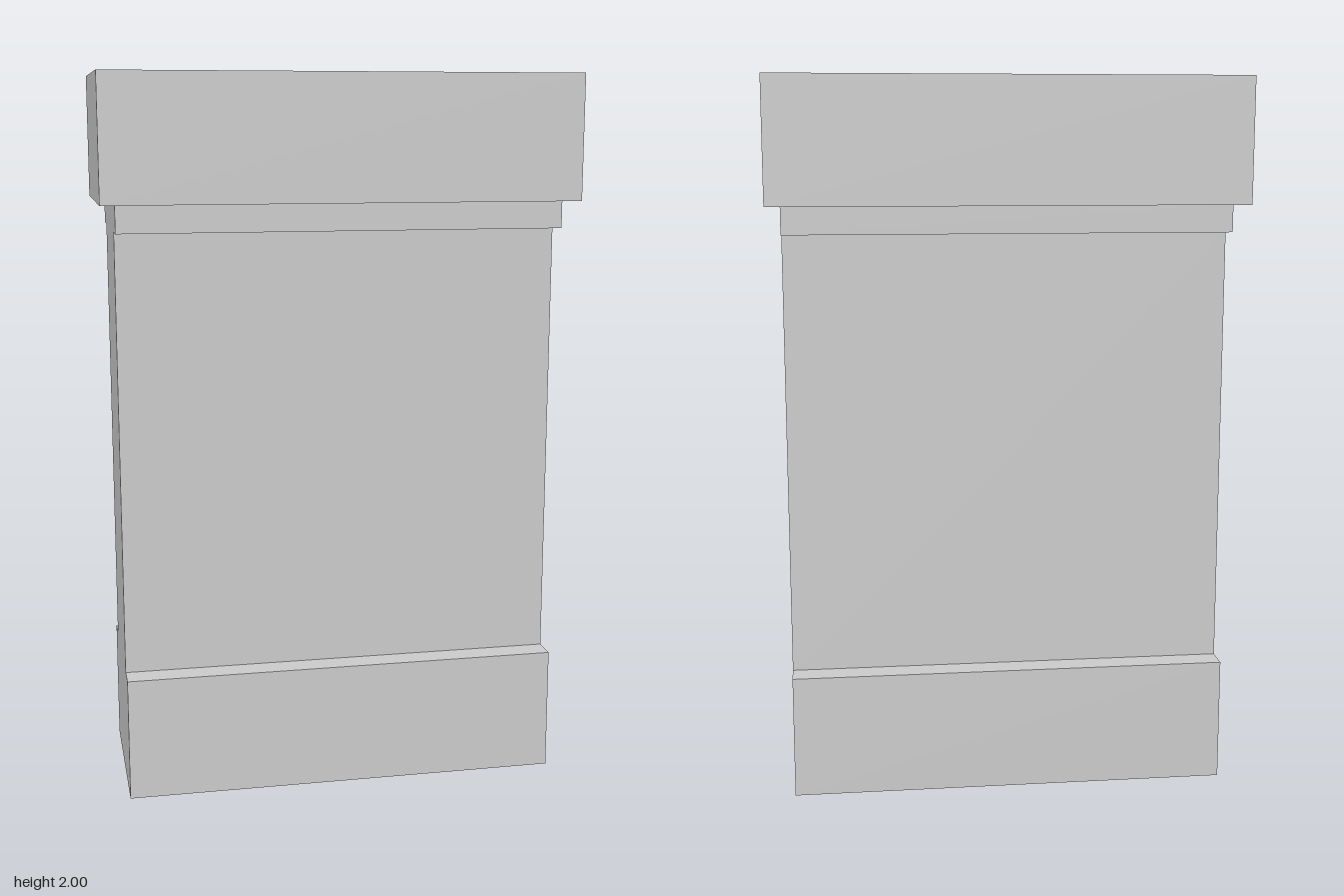
import * as THREE from 'three';

const material = new THREE.MeshStandardMaterial({
  color: 0xcccccc, flatShading: true, side: THREE.DoubleSide,
});

// Skins a stack of rectangular rings [halfWidth, halfDepth, y], listed from bottom to top.
function skin(name, rings) {
  const corners = ([w, d, y]) =>
    [[w, d], [w, -d], [-w, -d], [-w, d]].map(([x, z]) => new THREE.Vector3(x, y, z));
  const points = [];
  const triangle = (a, b, c) => {
    if (new THREE.Triangle(a, b, c).getArea() > 1e-6) points.push(a, b, c);
  };
  for (let r = 0; r < rings.length - 1; r++) {
    const low = corners(rings[r]);
    const high = corners(rings[r + 1]);
    for (let i = 0; i < 4; i++) {
      const j = (i + 1) % 4;
      triangle(low[i], low[j], high[j]);
      triangle(low[i], high[j], high[i]);
    }
  }
  const geometry = new THREE.BufferGeometry().setFromPoints(points);
  geometry.computeVertexNormals();
  const mesh = new THREE.Mesh(geometry, material);
  mesh.name = name;
  return mesh;
}

export function createModel() {
  const group = new THREE.Group();
  group.name = 'pedestal';

  const bodyW = 0.613, capW = 0.654;
  const shaftD = 0.173, baseD = 0.247, capD = 0.29;
  const baseTop = 0.347, shaftTop = 1.582, mouldingTop = 1.658, top = 2;

  group.add(
    // Plinth, hollow and open underneath, with a ledge on front and back
    skin('base', [[bodyW, baseD, 0], [bodyW, baseD, baseTop], [bodyW, shaftD, baseTop]]),
    // Recessed panel between plinth and moulding
    skin('shaft', [[bodyW, shaftD, baseTop], [bodyW, shaftD, shaftTop]]),
    // Thin step below the cap
    skin('moulding', [[bodyW, shaftD, shaftTop], [bodyW, baseD, shaftTop], [bodyW, baseD, mouldingTop]]),
    // Overhanging block with a closed top
    skin('cap', [[bodyW, baseD, mouldingTop], [capW, capD, mouldingTop], [capW, capD, top], [capW, 0, top]]),
  );
  return group;
}
